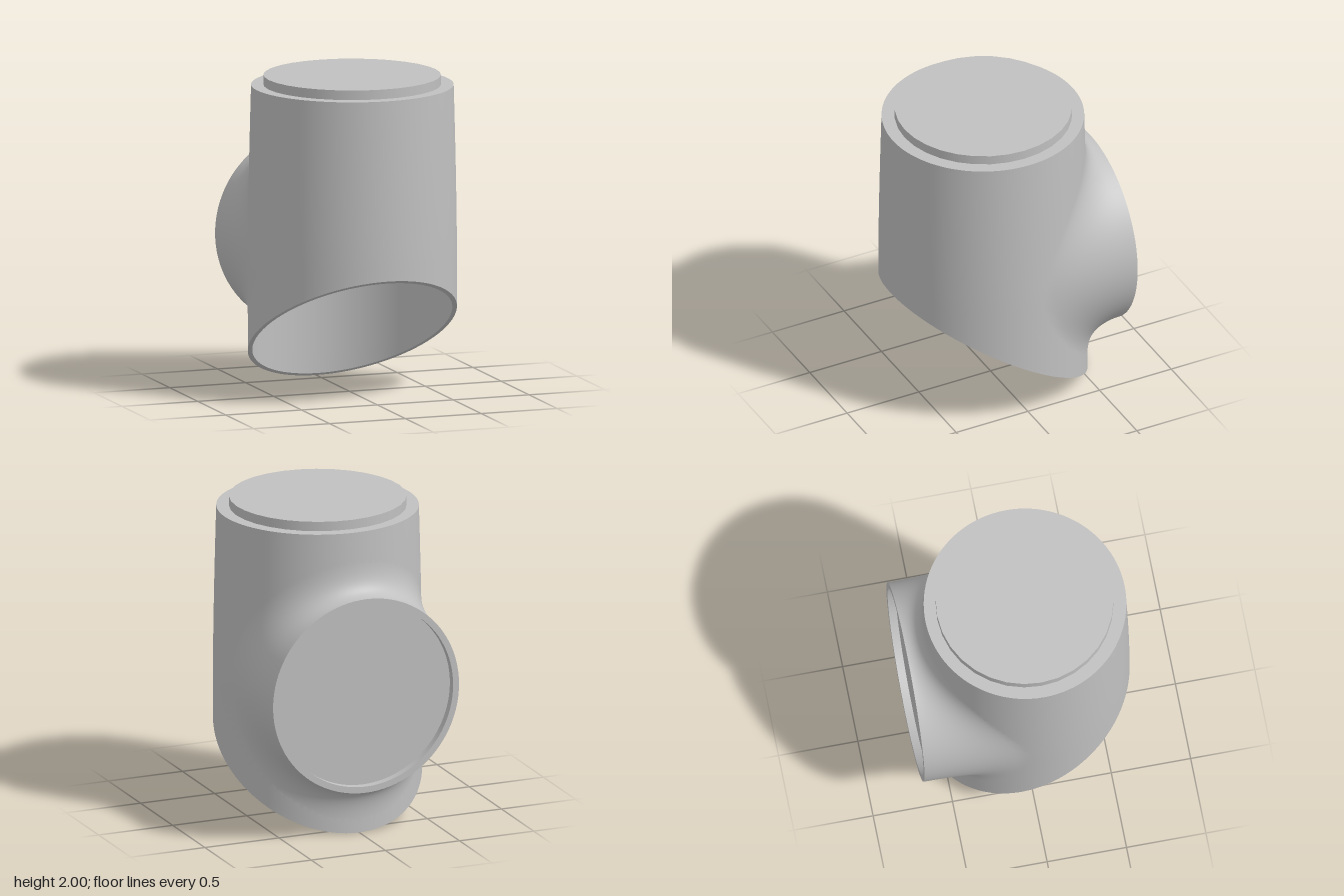
import * as THREE from 'three';
import { mergeVertices } from 'three/addons/utils/BufferGeometryUtils.js';

const CZ = 0.053;        // tube axis
const TOP = 1.94;        // shoulder height
const WALL = 0.028;
const BY = 0.915, BR = 0.627, BZ = -0.7; // rear port centre, radius and face
const FILLET = 0.22;

// Smooth surface from a function of u, v in 0..1; it faces du x dv
function surface(nu, nv, fn) {
  const pos = [], idx = [];
  for (let j = 0; j <= nv; j++)
    for (let i = 0; i <= nu; i++) pos.push(...fn((i % nu) / nu, j / nv));
  for (let j = 0; j < nv; j++)
    for (let i = 0; i < nu; i++) {
      const a = j * (nu + 1) + i, b = a + 1, c = b + nu + 1, d = c - 1;
      idx.push(a, b, c, a, c, d);
    }
  let g = new THREE.BufferGeometry();
  g.setAttribute('position', new THREE.Float32BufferAttribute(pos, 3));
  g.setIndex(idx);
  g = mergeVertices(g, 1e-5);
  g.computeVertexNormals();
  return g;
}

// Tube radius tapers gently towards the top
function radius(y) {
  const k = THREE.MathUtils.clamp((y - 0.9) / (TOP - 0.9), 0, 1);
  return 0.647 - 0.02 * Math.pow(k, 1.5);
}
const cutY = (z) => Math.max(0, 0.81 * (z + 0.594) / 1.294);

function tubePoint(t, v, inset, top) {
  const y0 = cutY(CZ + (radius(0) - inset) * Math.cos(t));
  const y = y0 + (top - y0) * v;
  const r = radius(y) - inset;
  return [r * Math.sin(t), y, CZ + r * Math.cos(t)];
}

// Concave blend from the port rim onto the tube
function blendPoint(phi, v) {
  const c = Math.cos(phi), s = Math.sin(phi);
  const x0 = BR * c, y0 = BY + BR * s, y1 = y0 + FILLET * s;
  const rC = radius(y0), r1 = radius(y1);
  const aC = Math.asin(x0 / rC), a1 = aC + FILLET * c / r1;
  const p = new THREE.QuadraticBezierCurve3(
    new THREE.Vector3(x0, y0, BZ),
    new THREE.Vector3(x0, y0, CZ - rC * Math.cos(aC)),
    new THREE.Vector3(r1 * Math.sin(a1), y1, CZ - r1 * Math.cos(a1))
  ).getPoint(v);
  // keep the blend on or just outside the tube
  const dz = p.z - CZ, d = Math.hypot(p.x, dz);
  const k = Math.max(1, (radius(p.y) + 0.001 * (1 - v)) / d);
  return [p.x * k, p.y, CZ + dz * k];
}

export function createModel() {
  const group = new THREE.Group();
  const grey = new THREE.MeshStandardMaterial({ color: 0xc0c0c0, side: THREE.DoubleSide });
  grey.name = 'shell grey';
  const TAU = Math.PI * 2;
  const add = (name, geo, x = 0, y = 0, z = 0) => {
    const m = new THREE.Mesh(geo, grey);
    m.name = name;
    m.position.set(x, y, z);
    group.add(m);
  };

  // Main tube with slanted lower opening
  add('tubeOuter', surface(96, 28, (u, v) => tubePoint(u * TAU, v, 0, TOP)));
  add('tubeInner', surface(96, 16, (u, v) => tubePoint(-u * TAU, v, WALL, TOP - 0.03)));
  add('openingRim', surface(96, 1, (u, v) => tubePoint(u * TAU, 0, WALL * (1 - v), TOP)));
  add('ceiling', new THREE.CircleGeometry(radius(TOP) - WALL, 64).rotateX(Math.PI / 2), 0, TOP - 0.03, CZ);

  // Shoulder and raised cap
  add('shoulder', new THREE.CircleGeometry(radius(TOP), 96).rotateX(-Math.PI / 2), 0, TOP, CZ);
  add('topCap', new THREE.CylinderGeometry(0.55, 0.55, 2 - TOP, 32), 0, (2 + TOP) / 2, CZ - 0.003);

  // Rear port: blend, rim, recess wall and recessed disc
  const inner = BR - 0.04, floor = BZ + 0.05;
  const ring = (phi, r, z) => [r * Math.cos(phi), BY + r * Math.sin(phi), z];
  add('portBlend', surface(96, 20, (u, v) => blendPoint(u * TAU, v)));
  add('portRim', surface(96, 1, (u, v) => ring(u * TAU, inner + (BR - inner) * v, BZ)));
  add('portRecess', surface(96, 1, (u, v) => ring(u * TAU, inner, floor + (BZ - floor) * v)));
  add('portDisc', new THREE.CircleGeometry(inner, 96).rotateY(Math.PI), 0, BY, floor);

  return group;
}
